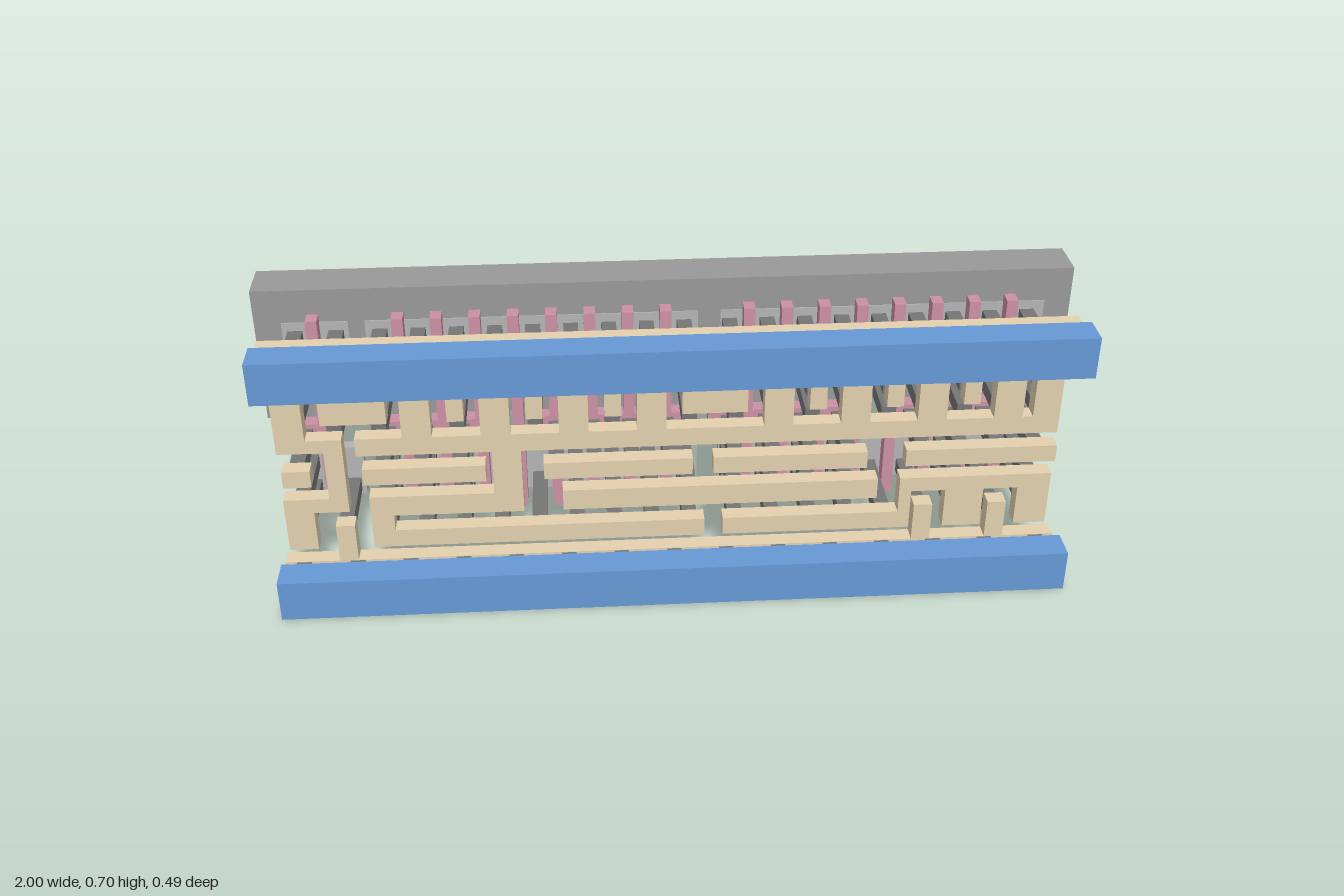
import * as THREE from 'three';

const mats = {};
for (const [name, color] of Object.entries({
  rail: 0x6699d6, metal: 0xe3d0ae, via: 0x757575, gate: 0xcb90a3, well: 0x999999, diffusion: 0xb4b4b4,
})) mats[name] = new THREE.MeshStandardMaterial({ color });

// Box from its extents
function slab(parent, name, mat, x0, x1, y0, y1, z0, z1) {
  const mesh = new THREE.Mesh(new THREE.BoxGeometry(x1 - x0, y1 - y0, z1 - z0), mats[mat]);
  mesh.position.set((x0 + x1) / 2, (y0 + y1) / 2, (z0 + z1) / 2);
  mesh.name = name;
  parent.add(mesh);
}

function layer(root, name) {
  const g = new THREE.Group();
  g.name = name;
  root.add(g);
  return g;
}

const PITCH = 0.0925;
const row = (start, n, step = PITCH) => Array.from({ length: n }, (_, i) => start + i * step);

export function createModel() {
  const root = new THREE.Group();
  root.name = 'layeredCircuitCell';

  // Back well and the active strips
  const base = layer(root, 'substrate');
  slab(base, 'well', 'well', -1, 1, 0.34, 0.692, -0.246, -0.134);
  for (const [x0, x1] of [[-0.935, -0.775], [-0.735, 0.075], [0.13, 0.935]]) {
    slab(base, 'lowerDiffusion', 'diffusion', x0, x1, 0.106, 0.248, -0.16, -0.131);
    slab(base, 'upperDiffusion', 'diffusion', x0, x1, 0.38, 0.606, -0.16, -0.131);
  }

  // Vertical gate strips and their middle pads
  const gates = layer(root, 'gates');
  const gateX = [-0.858, ...row(-0.654, 8), ...row(0.198, 8)];
  for (const x of gateX)
    slab(gates, 'gateStrip', 'gate', x - 0.014, x + 0.014, 0.078, 0.626, -0.134, -0.095);
  for (const [x0, x1] of [[-0.935, -0.844], [-0.735, -0.445], [-0.315, 0.045], [0.1, 0.498], [0.56, 0.93]])
    slab(gates, 'gatePad', 'gate', x0, x1, 0.278, 0.34, -0.1335, -0.0955);

  // Wiring layer: rectangles as x0, x1, y0, y1
  const metal = layer(root, 'wiring');
  const wires = [];
  const wire = (...r) => {
    wires.push(r);
    slab(metal, 'wire', 'metal', ...r, 0.071, 0.113);
  };
  wire(-0.955, 0.955, 0.633, 0.668);                 // top strip
  wire(-0.955, 0.955, 0.035, 0.073);                 // bottom strip
  // stems hanging from the top strip
  wire(-0.83, -0.675, 0.46, 0.633);
  wire(0.02, 0.175, 0.46, 0.633);
  for (const x of [-0.515, -0.33, -0.145, 0.343, 0.528, 0.713])
    wire(x - 0.02, x + 0.02, 0.46, 0.633);
  // long band with fingers rising between the stems
  wire(-0.755, 0.93, 0.373, 0.42);
  for (const x of [-0.608, -0.423, -0.238, -0.053, 0.25, 0.435, 0.62, 0.805])
    wire(x - 0.035, x + 0.035, 0.42, 0.6);
  wire(0.865, 0.93, 0.42, 0.6);
  // left end wire joining upper and lower halves
  wire(-0.94, -0.87, 0.385, 0.6);
  wire(-0.87, -0.785, 0.385, 0.42);
  wire(-0.83, -0.785, 0.255, 0.385);
  wire(-0.87, -0.785, 0.216, 0.255);
  wire(-0.94, -0.87, 0.11, 0.255);
  // middle bars over the gate pads
  for (const [x0, x1] of [[-0.935, -0.868], [-0.745, -0.452], [-0.313, 0.045], [0.095, 0.47], [0.565, 0.935]])
    wire(x0, x1, 0.29, 0.335);
  // lower bars and their legs
  wire(-0.435, -0.365, 0.255, 0.373);
  wire(-0.735, -0.365, 0.2, 0.255);
  wire(-0.735, -0.68, 0.157, 0.2);
  wire(-0.735, 0.075, 0.11, 0.157);
  wire(-0.27, 0.5, 0.2, 0.255);
  wire(0.12, 0.555, 0.11, 0.157);
  wire(0.555, 0.585, 0.11, 0.255);
  wire(0.585, 0.93, 0.216, 0.255);
  wire(0.67, 0.765, 0.11, 0.216);
  wire(0.85, 0.93, 0.11, 0.216);
  for (const x of [-0.8, 0.618, 0.803])              // posts rising from the bottom strip
    wire(x - 0.023, x + 0.023, 0.073, 0.175);

  // Pillars between wiring and strips, only where a wire covers them
  const pillars = layer(root, 'pillars');
  const covered = (x, y) => wires.some(([a, b, c, d]) => x > a && x < b && y > c && y < d);
  const pillarX = [-0.904, -0.805, ...row(-0.7, 9), ...row(0.152, 9)];
  for (const x of pillarX)
    for (const y of [0.138, 0.212, 0.418, 0.492, 0.566])
      if (covered(x, y))
        slab(pillars, 'pillar', 'via', x - 0.018, x + 0.018, y - 0.018, y + 0.018, -0.131, 0.071);

  // Pillars between middle bars and gate pads
  for (const x of [-0.904, ...row(-0.7, 3), ...row(-0.284, 4), ...row(0.152, 4), ...row(0.614, 4)])
    slab(pillars, 'gatePillar', 'via', x - 0.018, x + 0.018, 0.291, 0.328, -0.0955, 0.071);

  // Front power bars with short connecting blocks
  const power = layer(root, 'powerBars');
  for (const [y0, y1, c] of [[0, 0.106, 0.0535], [0.598, 0.702, 0.651]]) {
    slab(power, 'powerBar', 'rail', -0.955, 0.955, y0, y1, 0.167, 0.246);
    for (const x of row(-0.91, 15, 0.13))
      slab(power, 'connector', 'via', x - 0.018, x + 0.018, c - 0.018, c + 0.018, 0.113, 0.167);
  }
  return root;
}
